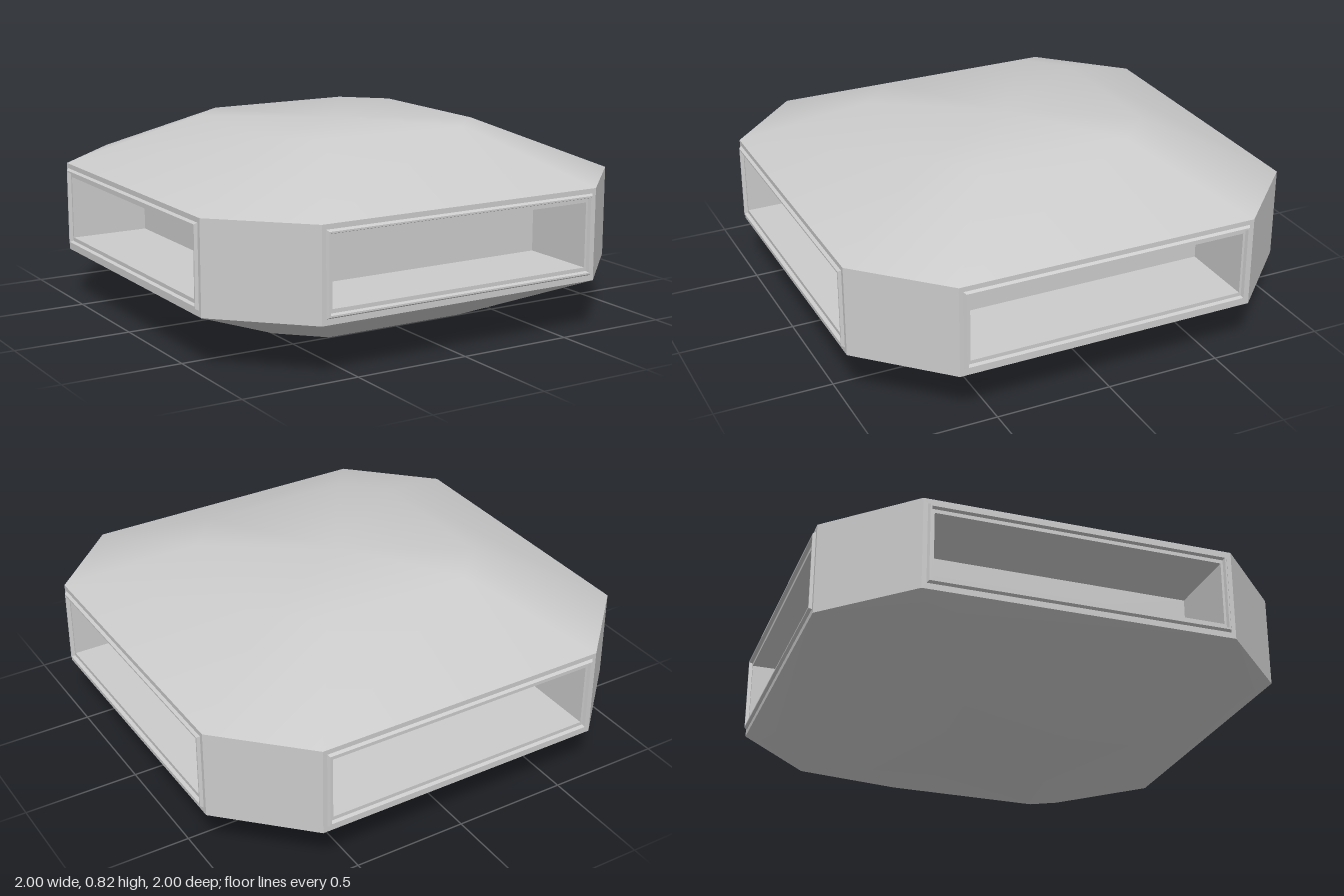
import * as THREE from 'three';

const MID_Y = 0.417;
const RIM = 0.988, CUT = 0.653;   // half width of the body, where corners are cut
const LOW = 0.22, HIGH = 0.61;    // wall band

const grey = new THREE.MeshStandardMaterial({ color: 0xcccccc });

function named(name, geometry) {
  const mesh = new THREE.Mesh(geometry, grey);
  mesh.name = name;
  return mesh;
}

function geometryFrom(points, index) {
  const g = new THREE.BufferGeometry();
  g.setAttribute('position', new THREE.Float32BufferAttribute(points, 3));
  g.setIndex(index);
  return g;
}

// Octagon ring, counter-clockwise seen from above
function octagon(scale, y) {
  const a = RIM * scale, b = CUT * scale;
  return [[a, b], [a, -b], [b, -a], [-b, -a], [-a, -b], [-a, b], [-b, a], [b, a]]
    .flatMap(([x, z]) => [x, y, z]);
}

// Smooth shallow cap: sloped skirt and flat middle sharing their vertices
function capGeometry(rimY, flatY) {
  const points = [...octagon(1, rimY), ...octagon(0.502, flatY), 0, flatY, 0];
  const index = [];
  const tri = (a, b, c) => (flatY > rimY ? index.push(a, b, c) : index.push(a, c, b));
  for (let i = 0; i < 8; i++) {
    const j = (i + 1) % 8;
    tri(i, j, 8 + j);
    tri(i, 8 + j, 8 + i);
    tri(8 + i, 8 + j, 16);
  }
  const g = geometryFrom(points, index);
  g.computeVertexNormals();
  return g;
}

// Flat-shaded loft through rectangles [half width, half height, z], from outside inward
function rectLoft(sections, closeEnd) {
  const points = [], index = [];
  for (const [w, h, z] of sections) {
    points.push(-w, -h, z, w, -h, z, w, h, z, -w, h, z);
  }
  for (let s = 0; s < sections.length - 1; s++) {
    for (let i = 0; i < 4; i++) {
      const a = s * 4 + i, b = s * 4 + (i + 1) % 4;
      index.push(a, b, b + 4, a, b + 4, a + 4);
    }
  }
  if (closeEnd) {
    const e = (sections.length - 1) * 4;
    index.push(e, e + 1, e + 2, e, e + 2, e + 3);
  }
  const g = geometryFrom(points, index).toNonIndexed();
  g.computeVertexNormals();
  return g;
}

function rectangle(PathType, x, y0, y1) {
  return new PathType([[-x, y0], [x, y0], [x, y1], [-x, y1]].map(p => new THREE.Vector2(...p)));
}

// One side: wall panel with an opening, raised frame and recessed bay
function createSide() {
  const side = new THREE.Group();

  const panel = rectangle(THREE.Shape, CUT, LOW, HIGH);
  panel.holes.push(rectangle(THREE.Path, 0.634, MID_Y - 0.172, MID_Y + 0.172));
  const wall = named('wallPanel', new THREE.ShapeGeometry(panel));
  wall.position.z = RIM;

  const frame = named('windowFrame', rectLoft([
    [0.636, 0.174, 0.985],
    [0.627, 0.165, 1.0],
    [0.620, 0.158, 1.0],
    [0.616, 0.153, 0.985],
    [0.606, 0.137, 0.985],
  ], false));
  const bay = named('recessedBay', rectLoft([
    [0.606, 0.137, 0.985],
    [0.606, 0.137, 0.64],
  ], true));
  frame.position.y = bay.position.y = MID_Y;

  side.add(wall, frame, bay);
  return side;
}

export function createModel() {
  const model = new THREE.Group();
  model.name = 'octagonalPod';

  model.add(named('roof', capGeometry(HIGH, 0.825)));
  model.add(named('underside', capGeometry(LOW, 0)));

  const cornerWidth = (RIM - CUT) * Math.SQRT2;
  const cornerDistance = (RIM + CUT) / Math.SQRT2;
  for (let i = 0; i < 4; i++) {
    const side = createSide();
    side.name = ['frontSide', 'leftSide', 'backSide', 'rightSide'][i];
    side.rotation.y = i * Math.PI / 2;
    model.add(side);

    // Chamfered corner wall
    const angle = (i + 0.5) * Math.PI / 2;
    const corner = named('cornerWall', new THREE.PlaneGeometry(cornerWidth, HIGH - LOW));
    corner.rotation.y = angle;
    corner.position.set(
      Math.sin(angle) * cornerDistance, (HIGH + LOW) / 2, Math.cos(angle) * cornerDistance);
    model.add(corner);
  }
  return model;
}
